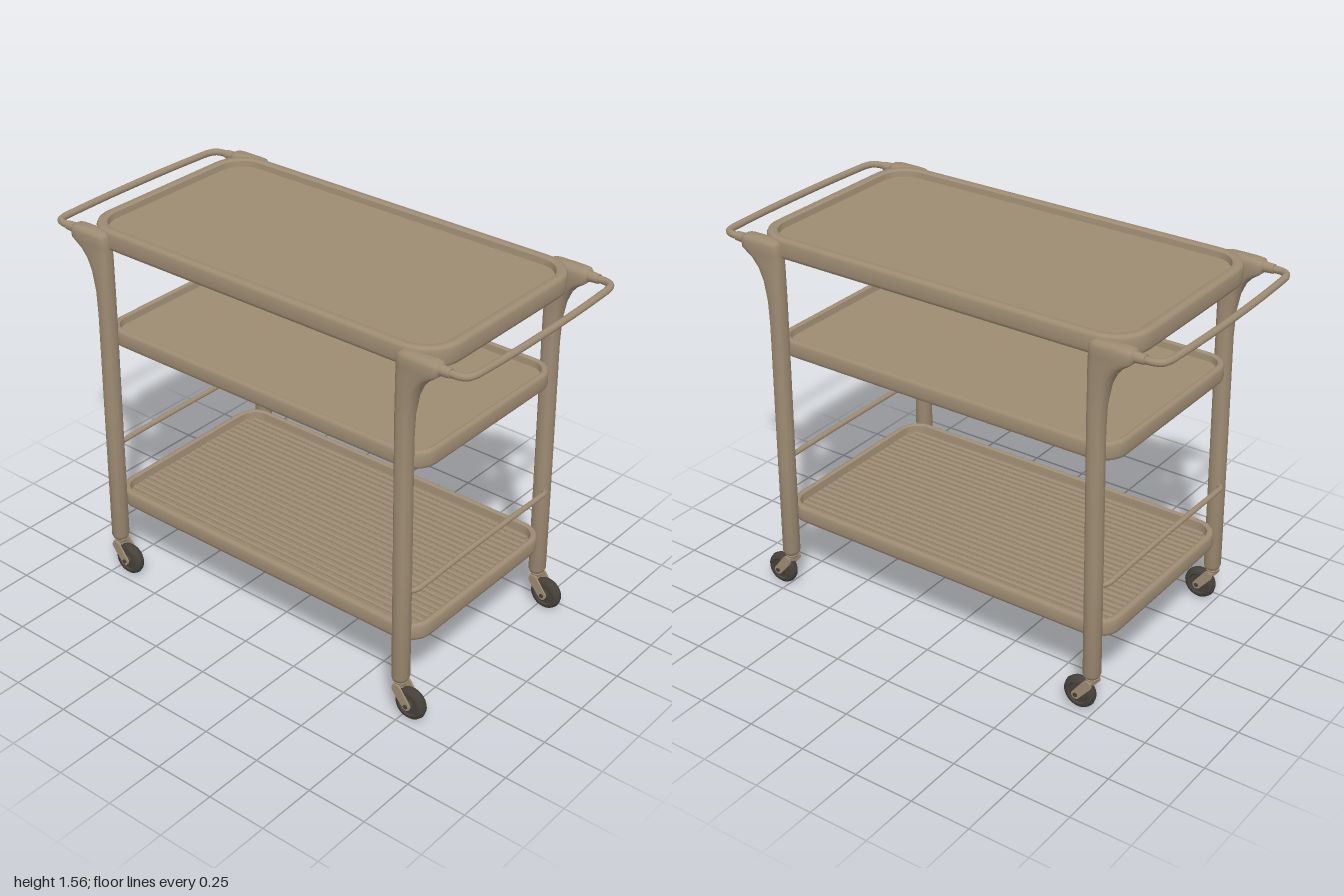
import * as THREE from 'three';
import { toCreasedNormals } from 'three/addons/utils/BufferGeometryUtils.js';

const wood = new THREE.MeshStandardMaterial({ color: 0x9e8c73 });
wood.name = 'tan wood';
const rubber = new THREE.MeshStandardMaterial({ color: 0x46413a });
rubber.name = 'dark rubber';

function add(parent, name, geometry, material = wood) {
  const mesh = new THREE.Mesh(geometry, material);
  mesh.name = name;
  parent.add(mesh);
  return mesh;
}

// Skin over a stack of closed loops (counter-clockwise from above), capped at both ends
function loft(loops, crease = 0.6) {
  const n = loops[0].length, pos = [], idx = [];
  loops.forEach(l => l.forEach(p => pos.push(...p)));
  for (let i = 0; i < loops.length - 1; i++) {
    for (let j = 0; j < n; j++) {
      const a = i * n + j, b = i * n + (j + 1) % n;
      idx.push(a, b, b + n, a, b + n, a + n);
    }
  }
  [0, loops.length - 1].forEach((i, end) => {
    const centre = [0, 1, 2].map(k => loops[i].reduce((s, p) => s + p[k], 0) / n);
    const c = pos.length / 3;
    pos.push(...centre);
    for (let j = 0; j < n; j++) {
      const a = i * n + j, b = i * n + (j + 1) % n;
      idx.push(c, end ? a : b, end ? b : a);
    }
  });
  const g = new THREE.BufferGeometry();
  g.setAttribute('position', new THREE.Float32BufferAttribute(pos, 3));
  g.setIndex(idx);
  return toCreasedNormals(g, crease);
}

function roundedRect(hx, hz, r, y) {
  const pts = [], seg = 10;
  [[1, 1], [-1, 1], [-1, -1], [1, -1]].forEach(([sx, sz], q) => {
    for (let i = 0; i <= seg; i++) {
      const t = (q + i / seg) * Math.PI / 2;
      pts.push([sx * (hx - r) + r * Math.cos(t), y, -(sz * (hz - r) + r * Math.sin(t))]);
    }
  });
  return pts;
}

// Tray: underside, lip, outer wall, rounded rim, inner wall and floor in one skin
function tray(hx, hz, r, y0, y1, rim, depth) {
  const profile = [
    [0.028, y0 + 0.012], [0.02, y0 + 0.012], [0.018, y0], [0.006, y0], [0.002, y0 + 0.005],
    [0, y0 + 0.015], [0, y1 - 0.014], [0.004, y1 - 0.005], [0.012, y1],
    [rim - 0.012, y1], [rim - 0.004, y1 - 0.005], [rim, y1 - depth],
  ];
  return loft(profile.map(([d, y]) => roundedRect(hx - d, hz - d, Math.max(r - d, 0.02), y)));
}

// Leg that flares outwards into a handle block: y, inner x, outer x, half depth, squareness
function leg() {
  const rows = [
    [0.155, 0.712, 0.752, 0.02, 2], [0.16, 0.704, 0.76, 0.03, 2.3], [0.175, 0.7, 0.765, 0.035, 2.4],
    [0.65, 0.695, 0.76, 0.035, 2.4], [1.2, 0.688, 0.753, 0.035, 2.4], [1.3, 0.687, 0.757, 0.035, 2.5],
    [1.38, 0.687, 0.772, 0.035, 2.7], [1.43, 0.687, 0.793, 0.035, 3], [1.465, 0.688, 0.822, 0.035, 3.4],
    [1.487, 0.689, 0.853, 0.035, 4], [1.5, 0.69, 0.868, 0.036, 4.5], [1.53, 0.692, 0.87, 0.036, 4.5],
    [1.543, 0.698, 0.865, 0.032, 4.5], [1.549, 0.712, 0.852, 0.022, 4],
  ];
  return loft(rows.map(([y, xi, xo, hz, e]) => {
    const pts = [], pw = v => Math.sign(v) * Math.abs(v) ** (2 / e);
    for (let i = 0; i < 28; i++) {
      const t = i / 28 * Math.PI * 2;
      pts.push([(xi + xo) / 2 + (xo - xi) / 2 * pw(Math.cos(t)), y, -hz * pw(Math.sin(t))]);
    }
    return pts;
  }), 0.9);
}

// Tube through a half path that is mirrored front to back
function mirroredTube(half, radius) {
  const pts = [...half, ...half.slice().reverse().map(([x, y, z]) => [x, y, -z])];
  const curve = new THREE.CatmullRomCurve3(pts.map(p => new THREE.Vector3(...p)));
  return new THREE.TubeGeometry(curve, 90, radius, 12);
}

function caster() {
  const g = new THREE.Group();
  g.name = 'caster';
  const stem = add(g, 'casterStem', new THREE.CylinderGeometry(0.016, 0.016, 0.045, 16));
  stem.position.y = 0.148;
  const collar = add(g, 'casterCollar', new THREE.CylinderGeometry(0.026, 0.022, 0.012, 18));
  collar.position.y = 0.146;
  // Fork cheeks slant from the stem to the axle
  for (const s of [1, -1]) {
    const shape = new THREE.Shape();
    shape.absarc(0.05, 0.072, 0.018, -Math.PI * 0.75, Math.PI * 0.2, false);
    shape.absarc(0.004, 0.13, 0.02, Math.PI * 0.2, Math.PI * 1.25, false);
    const cheek = add(g, 'casterFork', new THREE.ExtrudeGeometry(shape, { depth: 0.008, bevelEnabled: false }));
    cheek.position.z = s * 0.031 - 0.004;
  }
  const crown = add(g, 'casterCrown', new THREE.BoxGeometry(0.03, 0.01, 0.06));
  crown.position.set(0.0, 0.14, 0);
  // Wheel with rounded tread and a raised hub
  const profile = [[0, -0.026], [0.02, -0.026], [0.023, -0.017], [0.04, -0.016], [0.045, -0.022],
    [0.056, -0.021], [0.064, -0.013], [0.068, 0], [0.064, 0.013], [0.056, 0.021], [0.045, 0.022],
    [0.04, 0.016], [0.023, 0.017], [0.02, 0.026], [0, 0.026]].map(p => new THREE.Vector2(...p));
  const wheel = add(g, 'wheel', toCreasedNormals(new THREE.LatheGeometry(profile, 36), 0.7), rubber);
  wheel.rotation.x = Math.PI / 2;
  wheel.position.set(0.05, 0.07, 0);
  const axle = add(g, 'axle', new THREE.CylinderGeometry(0.009, 0.009, 0.078, 14), rubber);
  axle.rotation.x = Math.PI / 2;
  axle.position.set(0.05, 0.072, 0);
  return g;
}

export function createModel() {
  const cart = new THREE.Group();
  cart.name = 'servingCart';

  add(cart, 'topTray', tray(0.84, 0.45, 0.15, 1.48, 1.558, 0.045, 0.028));
  add(cart, 'middleTray', tray(0.778, 0.43, 0.1, 1.06, 1.13, 0.03, 0.03));
  add(cart, 'bottomTray', tray(0.778, 0.43, 0.1, 0.312, 0.382, 0.03, 0.038));

  // Ribbed floor of the bottom tray, showing above and below
  const ribs = new THREE.Group();
  ribs.name = 'bottomTrayRibs';
  cart.add(ribs);
  const count = 25;
  for (let i = 0; i < count; i++) {
    const z = -0.378 + 0.756 * i / (count - 1);
    const into = Math.max(0, Math.abs(z) - 0.33);
    const length = 2 * (0.74 - 0.07 + Math.sqrt(0.07 ** 2 - into ** 2));
    const rib = add(ribs, 'rib', new THREE.CylinderGeometry(0.01, 0.01, length, 8));
    rib.rotation.z = Math.PI / 2;
    rib.position.set(0, 0.346, z);
    const under = add(ribs, 'underRib', new THREE.CylinderGeometry(0.01, 0.01, length, 8));
    under.rotation.z = Math.PI / 2;
    under.position.set(0, 0.331, z);
  }

  // Two matching ends: legs, push handle and low guard rail
  const legGeometry = leg();
  const handleGeometry = mirroredTube([[0.86, 1.522, 0.45], [0.9, 1.522, 0.45], [0.935, 1.522, 0.449],
    [0.962, 1.522, 0.436], [0.974, 1.522, 0.405], [0.978, 1.522, 0.35], [0.985, 1.522, 0.15]], 0.014);
  const railGeometry = mirroredTube([[0.735, 0.558, 0.432], [0.758, 0.56, 0.424], [0.769, 0.564, 0.405],
    [0.772, 0.567, 0.37], [0.772, 0.571, 0.15]], 0.011);
  for (const side of [1, -1]) {
    const end = new THREE.Group();
    end.name = side > 0 ? 'leftEnd' : 'rightEnd';
    end.rotation.y = side > 0 ? 0 : Math.PI;
    cart.add(end);
    add(end, 'handle', handleGeometry);
    add(end, 'guardRail', railGeometry);
    for (const z of [0.45, -0.45]) {
      add(end, 'leg', legGeometry).position.z = z;
      const ferrule = add(end, 'handleFerrule', new THREE.CylinderGeometry(0.018, 0.021, 0.05, 18));
      ferrule.rotation.z = -Math.PI / 2;
      ferrule.position.set(0.882, 1.522, z);
      const wheel = caster();
      wheel.position.set(side * 0.733, 0, z);
      cart.add(wheel);
    }
  }
  return cart;
}
